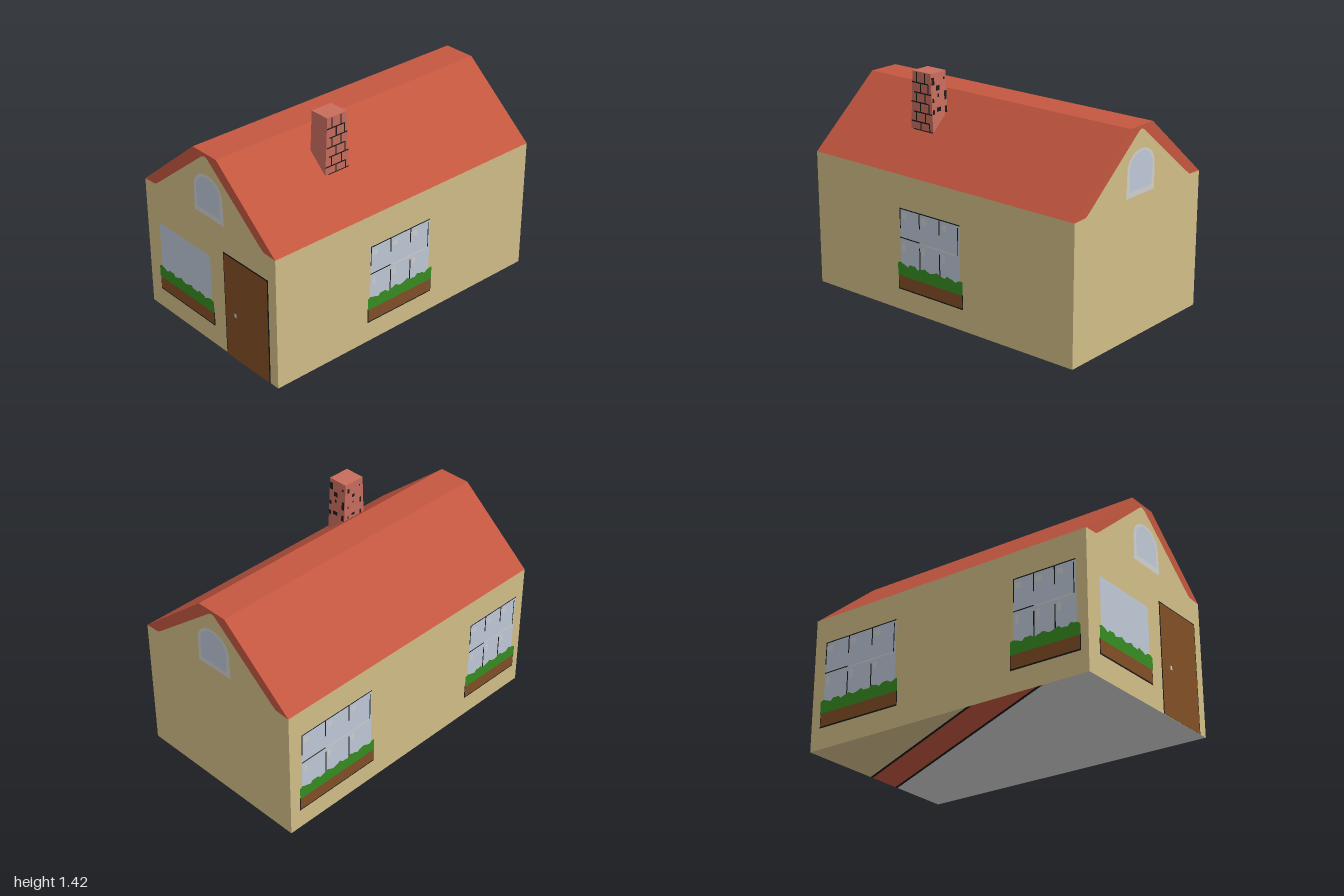
import * as THREE from 'three';

const mat = (name, color) => {
  const m = new THREE.MeshStandardMaterial({ color });
  m.name = name;
  return m;
};

export function createModel() {
  const wall = mat('sand wall', 0xd2be88);
  const red = mat('red roof', 0xc45740);
  const glass = mat('glass blue', 0xbfc9d7);
  const pale = mat('pale frame', 0xd0d0d0);
  const green = mat('leaf green', 0x378c22);
  const brown = mat('wood brown', 0x824f26);
  const brick = mat('brick', 0xc86d5e);
  const black = mat('black line', 0x1d1b1a);

  const house = new THREE.Group();
  house.name = 'house';
  const L = 1, D = 0.6, EAVE = 0.86, TOP = 1.275, FLAT = 0.105;

  const add = (parent, name, geo, material) => {
    const m = new THREE.Mesh(geo, material);
    m.name = name;
    parent.add(m);
    return m;
  };
  const poly = pts => new THREE.ShapeGeometry(new THREE.Shape(pts.map(p => new THREE.Vector2(...p))));
  // Rectangle from corner to corner, lifted off its wall by z
  const rect = (parent, name, x0, y0, x1, y1, z, material) => {
    const geo = new THREE.PlaneGeometry(x1 - x0, y1 - y0);
    geo.translate((x0 + x1) / 2, (y0 + y1) / 2, z);
    return add(parent, name, geo, material);
  };
  // Local frame of a wall: x runs to the right as seen from outside
  const side = (name, angle, dist) => {
    const g = new THREE.Group();
    g.name = name;
    g.rotation.y = angle;
    g.position.set(Math.sin(angle) * dist, 0, Math.cos(angle) * dist);
    house.add(g);
    return g;
  };
  const front = side('frontSide', 0, D);
  const back = side('backSide', Math.PI, D);
  const leftEnd = side('leftEnd', Math.PI / 2, L);
  const rightEnd = side('rightEnd', -Math.PI / 2, L);

  // Long walls and roof slopes
  for (const g of [front, back]) {
    rect(g, 'longWall', -L, 0, L, EAVE, 0, wall);
    const run = D - FLAT, rise = TOP - EAVE;
    const slope = new THREE.PlaneGeometry(2 * L, Math.hypot(run, rise));
    slope.rotateX(-Math.atan2(run, rise));
    slope.translate(0, (EAVE + TOP) / 2, -run / 2);
    add(g, 'roofSlope', slope, red);
  }
  const ridge = new THREE.PlaneGeometry(2 * L, 2 * FLAT).rotateX(-Math.PI / 2);
  add(house, 'roofRidge', ridge.translate(0, TOP, 0), red);

  // Gable ends with red roof edging
  const inner = [[0.5, EAVE + 0.005], [0.465, 0.89], [0.025, 1.245], [0, 1.255]];
  const innerLeft = inner.slice(0, 3).reverse().map(([x, y]) => [-x, y]);
  const edge = [[D, EAVE], ...inner, ...innerLeft, [-D, EAVE]];
  for (const g of [leftEnd, rightEnd]) {
    add(g, 'gableWall', poly([[-D, 0], [D, 0], ...edge]), wall);
    add(g, 'roofEdge', poly([...edge, [-FLAT, TOP], [FLAT, TOP]]), red);
  }

  // Underside, split into diagonal bands; each row is [z at the +x edge, x at the -z edge]
  const bands = [[-0.06, -0.18, black], [-0.04, -0.22, red], [0.175, -0.66, black], [0.195, -0.70, pale]];
  const floor = (name, pts, m) => add(house, name, poly(pts).rotateX(Math.PI / 2), m);
  floor('floorCorner', [[L, -D], [L, bands[0][0]], [bands[0][1], -D]], wall);
  for (let i = 0; i < 3; i++) {
    const [z0, x0, m] = bands[i], [z1, x1] = bands[i + 1];
    floor('floorBand', [[L, z0], [L, z1], [x1, -D], [x0, -D]], m);
  }
  floor('floorMain', [[L, bands[3][0]], [L, D], [-L, D], [-L, -D], [bands[3][1], -D]], pale);

  // Window with optional panes and a planted box below
  function windowAt(parent, x0, x1, top, panes) {
    const g = new THREE.Group();
    g.name = 'window';
    parent.add(g);
    const w = x1 - x0, low = 0.29, mid = 0.465 + (top - 0.655) * 0.5;
    rect(g, 'windowGlass', x0, low, x1, top, 0.002, glass);
    if (panes) {
      rect(g, 'topLine', x0, top - 0.007, x1, top, 0.004, black);
      rect(g, 'sideLine', x0, mid + 0.06, x0 + 0.007, top, 0.004, black);
      rect(g, 'sideLine', x1 - 0.018, mid, x1 - 0.012, top - 0.02, 0.004, black);
      rect(g, 'crossLine', x0, mid, x0 + w * 0.33, mid + 0.007, 0.004, black);
      rect(g, 'crossBar', x0 + w * 0.36, mid - 0.008, x1 - 0.02, mid + 0.003, 0.004, pale);
      for (let i = 0; i < 3; i++) {
        const x = x0 + w * i / 3;
        if (i) {
          rect(g, 'mullionLine', x - 0.004, mid + 0.09, x + 0.004, top, 0.004, black);
          rect(g, 'mullionLine', x - 0.004, low, x + 0.004, mid - 0.03, 0.004, black);
        }
        rect(g, 'glint', x + 0.018, top - 0.065, x + 0.055, top - 0.03, 0.004, pale);
        rect(g, 'glint', x + 0.018, mid - 0.075, x + 0.04, mid - 0.025, 0.004, pale);
      }
    }
    const b0 = x0 - 0.02, b1 = x1 + 0.022;
    rect(g, 'boxOutline', b0, 0.134, b1, 0.23, 0.003, black);
    rect(g, 'flowerBox', b0 + 0.005, 0.143, b1 - 0.005, 0.228, 0.005, brown);
    const leaves = [[b0, 0.225], [b1, 0.225]];
    const n = Math.round((b1 - b0) / 0.02);
    for (let i = n; i >= 0; i--) {
      const bump = 0.303 + 0.009 * Math.sin(i * 1.3) + 0.005 * Math.sin(i * 2.9);
      leaves.push([b0 + (b1 - b0) * i / n, bump]);
    }
    add(g, 'foliage', poly(leaves).translate(0, 0, 0.006), green);
  }
  windowAt(front, -0.30, 0.175, 0.655, true);
  windowAt(back, -0.91, -0.35, 0.69, true);
  windowAt(back, 0.505, 0.93, 0.69, true);
  windowAt(rightEnd, -0.48, 0.01, 0.61, false);

  // Arched attic windows
  const arch = (x, w, wb, y0, spring, rise) => {
    const pts = [[x - wb, y0], [x + wb, y0]];
    for (let i = 0; i <= 20; i++) {
      const a = Math.PI * i / 20;
      pts.push([x + w * Math.cos(a), spring + rise * Math.sin(a)]);
    }
    return poly(pts);
  };
  for (const [g, x] of [[leftEnd, 0], [rightEnd, 0.02]]) {
    add(g, 'archFrame', arch(x, 0.13, 0.135, 0.87, 1.03, 0.112).translate(0, 0, 0.002), pale);
    add(g, 'archGlass', arch(x, 0.108, 0.104, 0.905, 1.03, 0.097).translate(0, 0, 0.004), glass);
  }

  // Door
  rect(rightEnd, 'doorFrame', 0.135, 0, 0.535, 0.70, 0.002, black);
  rect(rightEnd, 'door', 0.142, 0, 0.527, 0.692, 0.004, brown);
  rect(rightEnd, 'doorKnob', 0.225, 0.30, 0.245, 0.325, 0.006, pale);

  // Chimney, tapering across its width
  const chimney = new THREE.Group();
  chimney.name = 'chimney';
  chimney.position.set(-0.338, 0, 0.29);
  house.add(chimney);
  const halfW = y => 0.072 + (1.423 - y) * 0.048;
  const stackGeo = new THREE.BoxGeometry(2, 0.423, 0.132).translate(0, 1.2115, 0);
  const p = stackGeo.attributes.position;
  for (let i = 0; i < p.count; i++) p.setX(i, p.getX(i) * halfW(p.getY(i)));
  stackGeo.computeVertexNormals();
  add(chimney, 'chimneyStack', stackGeo, brick);

  // Brick joints on the chimney front
  const rows = [1.065, 1.115, 1.175, 1.235, 1.295, 1.355, 1.42];
  rows.slice(0, -1).forEach((y, r) => {
    const w = halfW(y);
    const start = r % 2 ? -w : -w * 0.75, end = r % 2 ? w * 0.7 : w;
    rect(chimney, 'bedJoint', start, y - 0.004, end, y + 0.004, 0.068, black);
    for (const f of r % 2 ? [-0.5, 0.35] : [-0.1, 0.7]) {
      rect(chimney, 'headJoint', w * f - 0.004, y, w * f + 0.004, rows[r + 1], 0.068, black);
    }
  });

  // Dark patches on the back and on the left face: [across, y, width, height]
  const patches = [[-0.05, 1.375, 0.025, 0.045], [-0.01, 1.33, 0.03, 0.03], [0.052, 1.275, 0.02, 0.055],
    [-0.01, 1.2, 0.035, 0.025], [0.052, 1.19, 0.02, 0.04], [-0.054, 1.26, 0.016, 0.025], [-0.054, 1.19, 0.016, 0.03],
    [-0.01, 1.285, 0.012, 0.02], [0.045, 1.38, 0.015, 0.015]];
  const backFace = new THREE.Group(), leftFace = new THREE.Group();
  backFace.name = 'chimneyBack';
  leftFace.name = 'chimneyLeft';
  backFace.rotation.y = Math.PI;
  backFace.position.z = -0.068;
  leftFace.rotation.y = Math.PI / 2;
  chimney.add(backFace, leftFace);
  for (const [x, y, w, h] of patches) {
    rect(backFace, 'patch', x - w / 3, y - h / 3, x + w / 3, y + h / 3, 0, black);
    const m = rect(leftFace, 'patch', x - w / 2, -h / 2, x + w / 2, h / 2, 0.002, black);
    m.position.set(0, y, halfW(y));
    m.rotation.x = -0.048;
  }
  return house;
}
